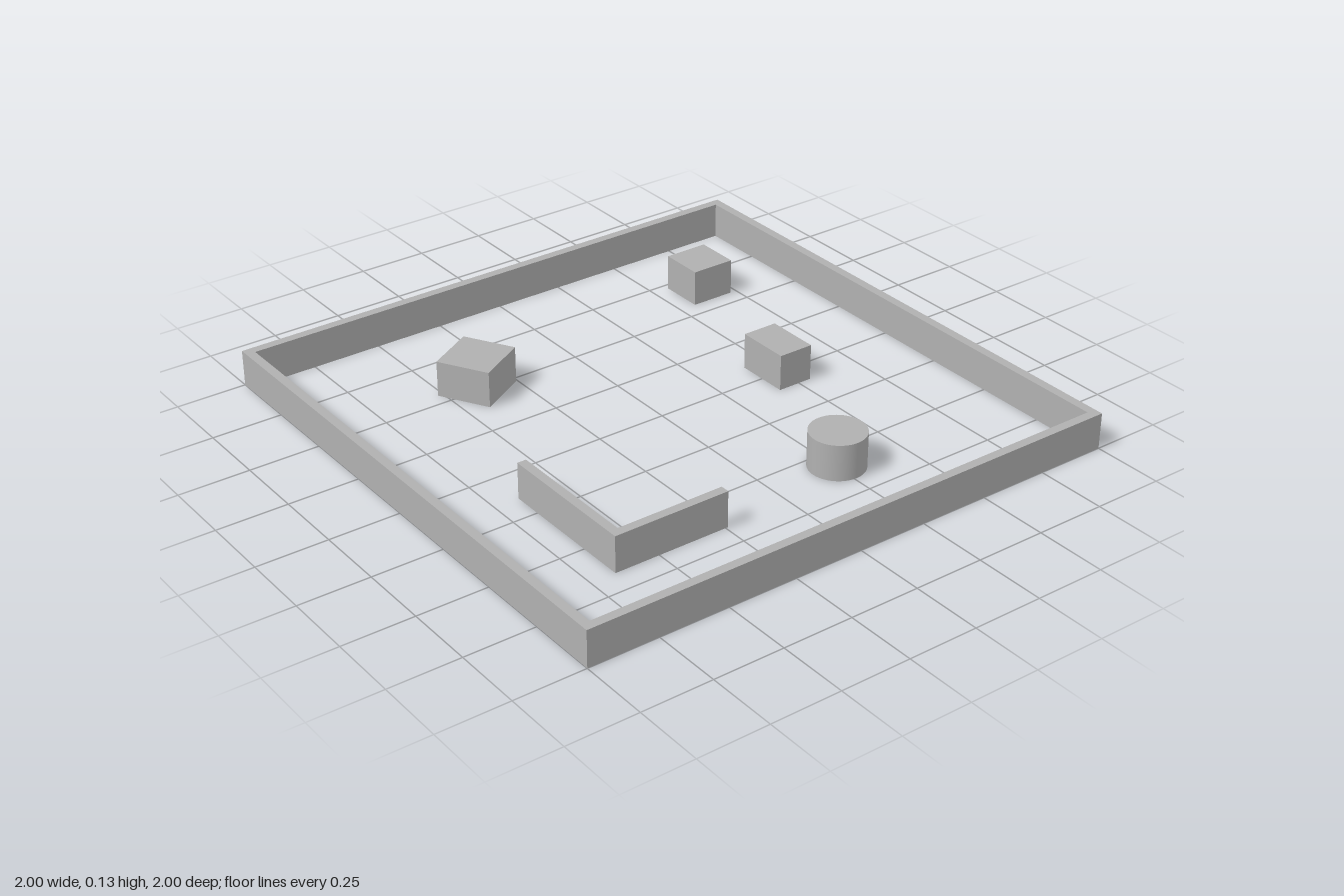
import * as THREE from 'three';

const S = 2 / 3.1; // metres to model units
const HEIGHT = 0.2 * S;
const HALF = 1.55 * S; // outer half width of the arena
const WALL = 0.05 * S;

const grey = new THREE.MeshStandardMaterial({ color: 0xb0b0b0 });
grey.name = 'plain grey';

// Outline of [x, z] points in metres
const outline = (points) => points.map(([x, z]) => new THREE.Vector2(x * S, -z * S));

// Raise a flat shape from the floor to the common height
function raise(shape) {
  const geometry = new THREE.ExtrudeGeometry(shape, { depth: HEIGHT, bevelEnabled: false });
  return geometry.rotateX(-Math.PI / 2);
}

export function createModel() {
  const model = new THREE.Group();
  model.name = 'obstacleArena';

  const add = (name, geometry, x = 0, y = 0, z = 0, turn = 0) => {
    const mesh = new THREE.Mesh(geometry, grey);
    mesh.name = name;
    mesh.position.set(x, y, z);
    mesh.rotation.y = turn;
    model.add(mesh);
  };

  // Square outer wall, open above and below
  const square = (h) => [
    new THREE.Vector2(-h, -h), new THREE.Vector2(h, -h),
    new THREE.Vector2(h, h), new THREE.Vector2(-h, h),
  ];
  const frame = new THREE.Shape(square(HALF));
  frame.holes.push(new THREE.Path(square(HALF - WALL)));
  add('outerWall', raise(frame));

  // L-shaped inner wall
  const corner = new THREE.Shape(outline([
    [-1.025, 1.025], [-0.375, 1.025], [-0.375, 0.975],
    [-0.975, 0.975], [-0.975, 0.225], [-1.025, 0.225],
  ]));
  add('cornerWall', raise(corner));

  // Box obstacles: name, width, depth, x, z, turn
  const boxes = [
    ['turnedBox', 0.3, 0.3, -0.6, -0.8, Math.PI / 6],
    ['smallBox', 0.25, 0.25, 1.0, -1.0, 0],
    ['narrowBox', 0.2, 0.3, 0.75, 0, 0],
  ];
  for (const [name, w, d, x, z, turn] of boxes) {
    add(name, new THREE.BoxGeometry(w * S, HEIGHT, d * S), x * S, HEIGHT / 2, z * S, turn);
  }

  // Round obstacle
  const drum = new THREE.CylinderGeometry(0.15 * S, 0.15 * S, HEIGHT, 48);
  add('roundPillar', drum, 0.4 * S, HEIGHT / 2, 0.9 * S);

  return model;
}
